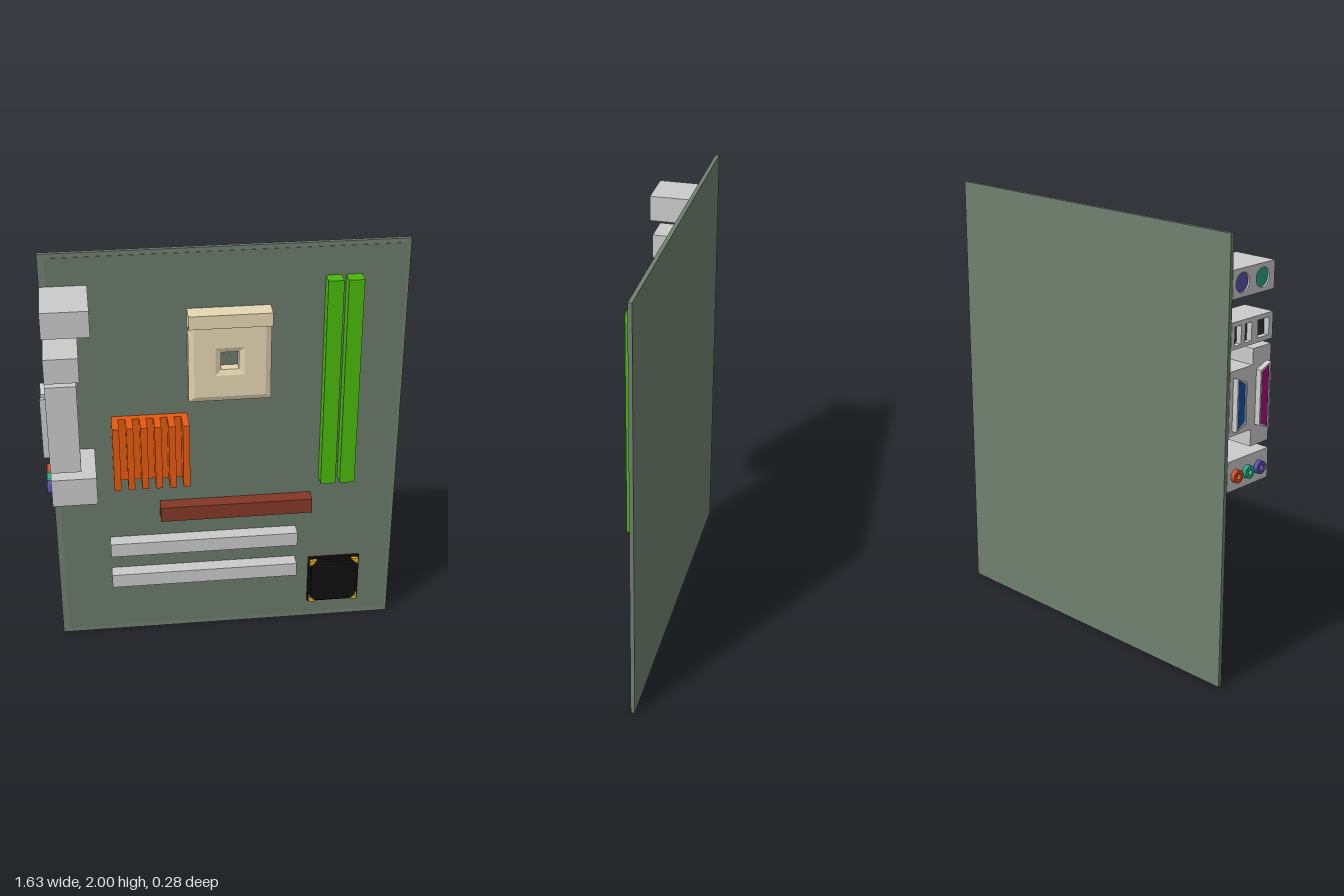
import * as THREE from 'three';

const BOARD_Z = -0.12; // front surface of the board
const EDGE_X = -0.795; // outer face of the rear connectors

const mat = (color) => new THREE.MeshStandardMaterial({ color, flatShading: true });
const M = {
  grey: mat(0xcccccc), board: mat(0x74836f), panel: mat(0x6c7a6a), cream: mat(0xe6d8b4),
  orange: mat(0xe65a10), green: mat(0x49b80c), brown: mat(0x843827), black: mat(0x101010),
  gold: mat(0xe0b010), dark: mat(0x333333), teal: mat(0x2aa583), purple: mat(0x5c50a8),
  red: mat(0xd0502c), blue: mat(0x1050b0), magenta: mat(0xa8087c),
};
M.board.color.set(0x708070);

export function createModel() {
  const model = new THREE.Group();

  const add = (name, geometry, material, parent = model) => {
    const mesh = new THREE.Mesh(geometry, material);
    mesh.name = name;
    parent.add(mesh);
    return mesh;
  };

  // Box given by its extents
  const box = (name, x0, x1, y0, y1, z0, z1, material, parent) => {
    const mesh = add(name, new THREE.BoxGeometry(x1 - x0, y1 - y0, z1 - z0), material, parent);
    mesh.position.set((x0 + x1) / 2, (y0 + y1) / 2, (z0 + z1) / 2);
    return mesh;
  };

  const group = (name) => {
    const g = new THREE.Group();
    g.name = name;
    model.add(g);
    return g;
  };

  const polygon = (points) => new THREE.Shape(points.map(([x, y]) => new THREE.Vector2(x, y)));
  const rect = (x0, x1, y0, y1) => polygon([[x0, y0], [x1, y0], [x1, y1], [x0, y1]]);
  const disc = (x, y, r) => new THREE.Shape().absarc(x, y, r, 0, Math.PI * 2);
  const flat = (depth) => ({ depth, bevelEnabled: false, curveSegments: 10 });

  // Shape drawn in (z, y), extruded towards -x from the given x
  const sideways = (shape, x, depth) =>
    new THREE.ExtrudeGeometry(shape, flat(depth)).rotateY(-Math.PI / 2).translate(x, 0, 0);

  // Circuit board with a slightly darker field inside its border
  box('board', -0.795, 0.815, 0, 2, -0.14, BOARD_Z - 0.002, M.board);
  box('boardField', -0.765, 0.803, 0.025, 1.98, BOARD_Z - 0.002, BOARD_Z, M.panel);

  // Connector housing: solid rear body and an outer plate with sockets cut in
  const LIP = 0.03;
  const housing = (name, x1, y0, y1, z1, sockets) => {
    const g = group(name);
    box('body', EDGE_X + LIP, x1, y0, y1, BOARD_Z, z1, M.grey, g);
    const plate = rect(BOARD_Z, z1, y0, y1);
    for (const { shape, material, inset } of sockets) {
      plate.holes.push(shape);
      add('socketFloor', sideways(shape, EDGE_X + LIP, LIP - inset), material, g);
    }
    add('plate', sideways(plate, EDGE_X + LIP, LIP), M.grey, g);
    return g;
  };

  housing('roundPorts', -0.59, 1.73, 1.85, 0.14, [
    { shape: disc(-0.06, 1.79, 0.042), material: M.purple, inset: 0.008 },
    { shape: disc(0.065, 1.79, 0.042), material: M.teal, inset: 0.008 },
  ]);
  housing('slotPorts', -0.645, 1.52, 1.635, 0.14, [
    { shape: rect(-0.1, -0.06, 1.535, 1.615), material: M.dark, inset: 0.025 },
    { shape: rect(-0.035, 0.005, 1.535, 1.615), material: M.dark, inset: 0.025 },
    { shape: rect(0.045, 0.115, 1.54, 1.615), material: M.dark, inset: 0.025 },
  ]);

  // Audio jacks: rings around dark bores
  const audio = housing('audioPorts', -0.595, 0.905, 1.04, 0.14, []);
  [[-0.07, M.red], [0.003, M.teal], [0.077, M.purple]].forEach(([z, material]) => {
    const ring = disc(z, 0.97, 0.029);
    ring.holes.push(disc(z, 0.97, 0.013));
    add('jackRing', sideways(ring, EDGE_X, 0.02), material, audio);
    add('jackBore', sideways(disc(z, 0.97, 0.013), EDGE_X, 0.003), M.dark, audio);
  });

  // Stacked tapered connectors: a tall upper block on a shorter lower block
  const stack = group('stackedConnectors');
  box('upperBlock', EDGE_X, -0.66, 1.075, 1.5, 0.02, 0.135, M.grey, stack);
  box('lowerBlock', EDGE_X, -0.66, 1.15, 1.43, BOARD_Z, 0.02, M.grey, stack);
  const tapered = (name, zLong, zShort, half, material) => {
    const outline = (d) => {
      const s = Math.sign(zShort - zLong) * d;
      return polygon([
        [zLong + s, 1.287 - half + d], [zShort - s, 1.312 - half + d],
        [zShort - s, 1.262 + half - d], [zLong + s, 1.287 + half - d],
      ]);
    };
    const shell = outline(0);
    shell.holes.push(outline(0.009));
    add(name + 'Shell', sideways(shell, EDGE_X, 0.025), M.grey, stack);
    add(name + 'Insert', sideways(outline(0.009), EDGE_X, 0.021), material, stack);
  };
  tapered('upperConnector', 0.11, 0.045, 0.145, M.magenta);
  tapered('lowerConnector', -0.1, -0.04, 0.115, M.blue);

  // Processor socket: bevelled slab with a square opening and a raised bar
  const socket = group('processorSocket');
  const B = 0.025;
  const slab = rect(-0.165 + B, 0.205 - B, 1.28 + B, 1.69 - B);
  slab.holes.push(rect(-0.02 - B, 0.06 + B, 1.435 - B, 1.52 + B));
  const slabGeometry = new THREE.ExtrudeGeometry(slab, {
    depth: 0.045, bevelEnabled: true, bevelSize: B, bevelThickness: 0.01, bevelSegments: 1,
  });
  add('socketSlab', slabGeometry, M.cream, socket).position.z = BOARD_Z + 0.002;
  box('socketBar', -0.165, 0.205, 1.655, 1.718, BOARD_Z, -0.033, M.cream, socket);

  // Heat sink: base plate and six upright fins
  const sink = group('heatSink');
  box('sinkBase', -0.515, -0.17, 0.88, 1.2, BOARD_Z, -0.09, M.orange, sink);
  for (let i = 0; i < 6; i++) {
    const x = -0.515 + i * 0.063;
    box('fin', x, x + 0.031, 0.88, 1.2, -0.09, 0, M.orange, sink);
  }

  // Memory and expansion slots
  for (const x of [0.445, 0.535]) {
    box('memorySlot', x, x + 0.07, 0.815, 1.845, BOARD_Z, -0.055, M.green);
  }
  box('graphicsSlot', -0.305, 0.408, 0.66, 0.735, BOARD_Z, -0.053, M.brown);
  for (const y of [0.3, 0.477]) {
    box('expansionSlot', -0.545, 0.343, y, y + 0.07, BOARD_Z, -0.053, M.grey);
  }

  // Controller chip: stepped package with gold corner marks
  const chip = group('chip');
  box('chipBase', 0.41, 0.66, 0.1, 0.358, BOARD_Z, -0.105, M.black, chip);
  box('chipTop', 0.425, 0.645, 0.115, 0.343, -0.105, -0.09, M.black, chip);
  for (const sx of [-1, 1]) {
    for (const sy of [-1, 1]) {
      const cx = 0.535 + sx * 0.119, cy = 0.229 + sy * 0.122;
      const corner = polygon([[cx, cy], [cx - sx * 0.035, cy], [cx, cy - sy * 0.035]]);
      add('cornerMark', new THREE.ExtrudeGeometry(corner, flat(0.016)), M.gold, chip).position.z = -0.105;
    }
  }

  return model;
}
